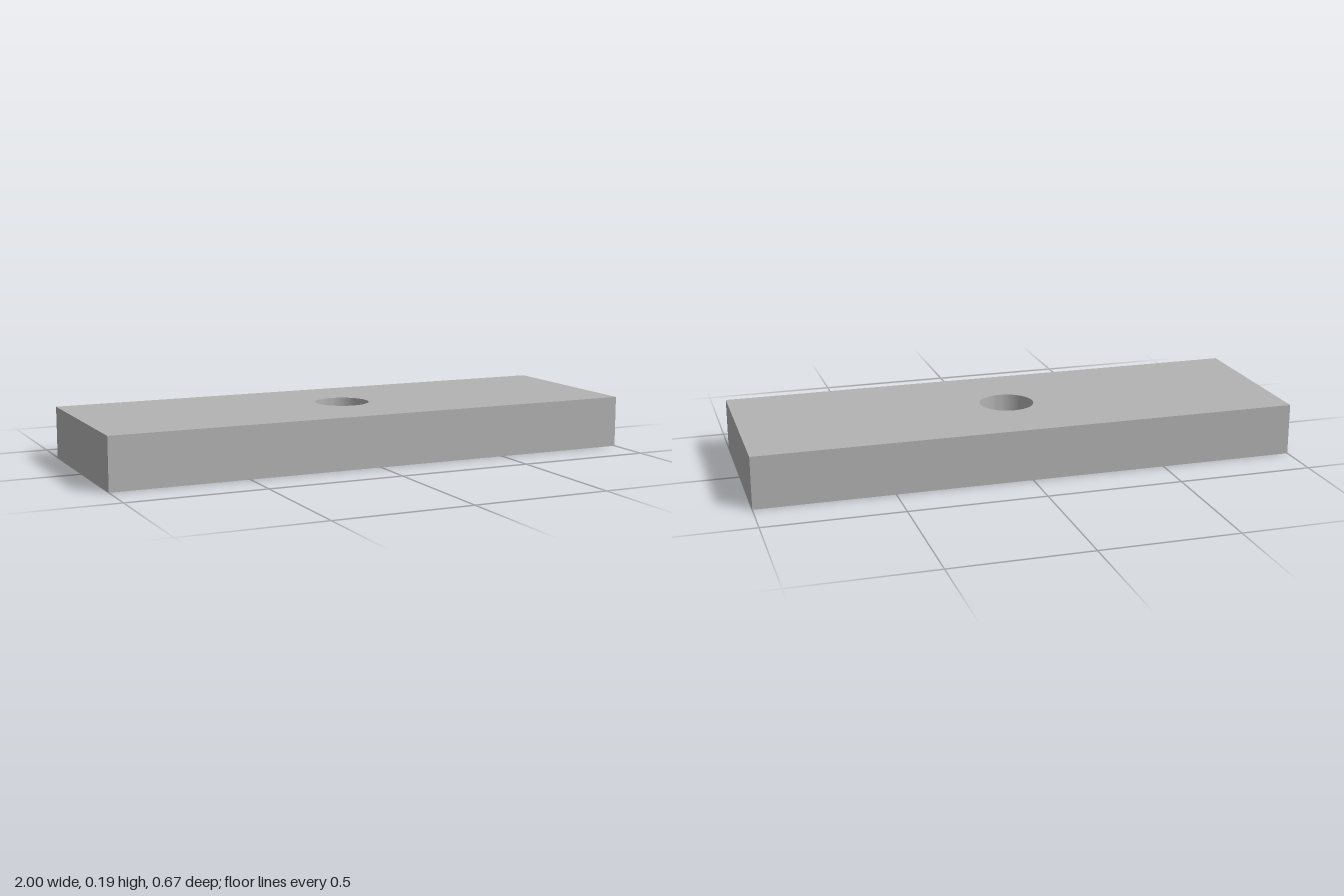
import * as THREE from 'three';
import { toCreasedNormals } from 'three/addons/utils/BufferGeometryUtils.js';

const SEGMENTS = 32;
const WIDTH = 2, DEPTH = 0.667, HEIGHT = 0.19;
const POCKET_TOP = 0.067;      // ceiling of the slot in the underside
const BORE_FLOOR = 0.09;       // floor of the counterbore in the top
const BORE_R = 0.1, HOLE_R = 0.055;
const SLOT_R = 0.117, SLOT_X = 0.683, BOSS_R = 0.178;

function circle(r) {
  return new THREE.Shape().absarc(0, 0, r, 0, Math.PI * 2, false);
}

function rectangle(w, d) {
  return new THREE.Shape([[-1, -1], [1, -1], [1, 1], [-1, 1]]
    .map(([x, y]) => new THREE.Vector2(x * w / 2, y * d / 2)));
}

// Long rounded slot with a wider round area in its middle
function slot() {
  const a = Math.asin(SLOT_R / BOSS_R), PI = Math.PI;
  const s = new THREE.Shape();
  s.absarc(SLOT_X, 0, SLOT_R, -PI / 2, PI / 2, false);
  s.absarc(0, 0, BOSS_R, a, PI - a, false);
  s.absarc(-SLOT_X, 0, SLOT_R, PI / 2, PI * 1.5, false);
  s.absarc(0, 0, BOSS_R, PI + a, PI * 2 - a, false);
  s.closePath();
  return s;
}

// Horizontal face at height y, with an optional opening
function face(outline, opening, y, up) {
  if (opening) outline.holes.push(opening);
  const g = new THREE.ShapeGeometry(outline, SEGMENTS);
  g.rotateX(up ? -Math.PI / 2 : Math.PI / 2);
  return g.translate(0, y, 0);
}

// Vertical wall along an outline, facing outward or into the opening
function wall(outline, y0, y1, inward) {
  const pts = outline.getPoints(SEGMENTS);
  if (inward) pts.reverse();
  const pos = [];
  pts.forEach((p, i) => {
    const q = pts[(i + 1) % pts.length];
    if (p.distanceTo(q) < 1e-6) return;
    const a = [p.x, y0, -p.y], b = [q.x, y0, -q.y];
    const c = [q.x, y1, -q.y], d = [p.x, y1, -p.y];
    pos.push(...a, ...b, ...c, ...a, ...c, ...d);
  });
  const g = new THREE.BufferGeometry();
  g.setAttribute('position', new THREE.Float32BufferAttribute(pos, 3));
  return toCreasedNormals(g, Math.PI / 6);
}

export function createModel() {
  const model = new THREE.Group();
  model.name = 'slottedMountingPlate';
  const grey = new THREE.MeshStandardMaterial({ color: 0xb3b3b3 });
  grey.name = 'plainGrey';

  const add = (name, geometry) => {
    const mesh = new THREE.Mesh(geometry, grey);
    mesh.name = name;
    model.add(mesh);
  };

  // Block
  add('plateSides', wall(rectangle(WIDTH, DEPTH), 0, HEIGHT, false));
  add('plateTop', face(rectangle(WIDTH, DEPTH), circle(BORE_R), HEIGHT, true));
  add('plateUnderside', face(rectangle(WIDTH, DEPTH), slot(), 0, false));

  // Counterbored screw hole
  add('counterboreWall', wall(circle(BORE_R), BORE_FLOOR, HEIGHT, true));
  add('counterboreFloor', face(circle(BORE_R), circle(HOLE_R), BORE_FLOOR, true));
  add('screwHoleWall', wall(circle(HOLE_R), POCKET_TOP, BORE_FLOOR, true));

  // Slot in the underside
  add('slotWall', wall(slot(), 0, POCKET_TOP, true));
  add('slotCeiling', face(slot(), circle(HOLE_R), POCKET_TOP, false));

  return model;
}
